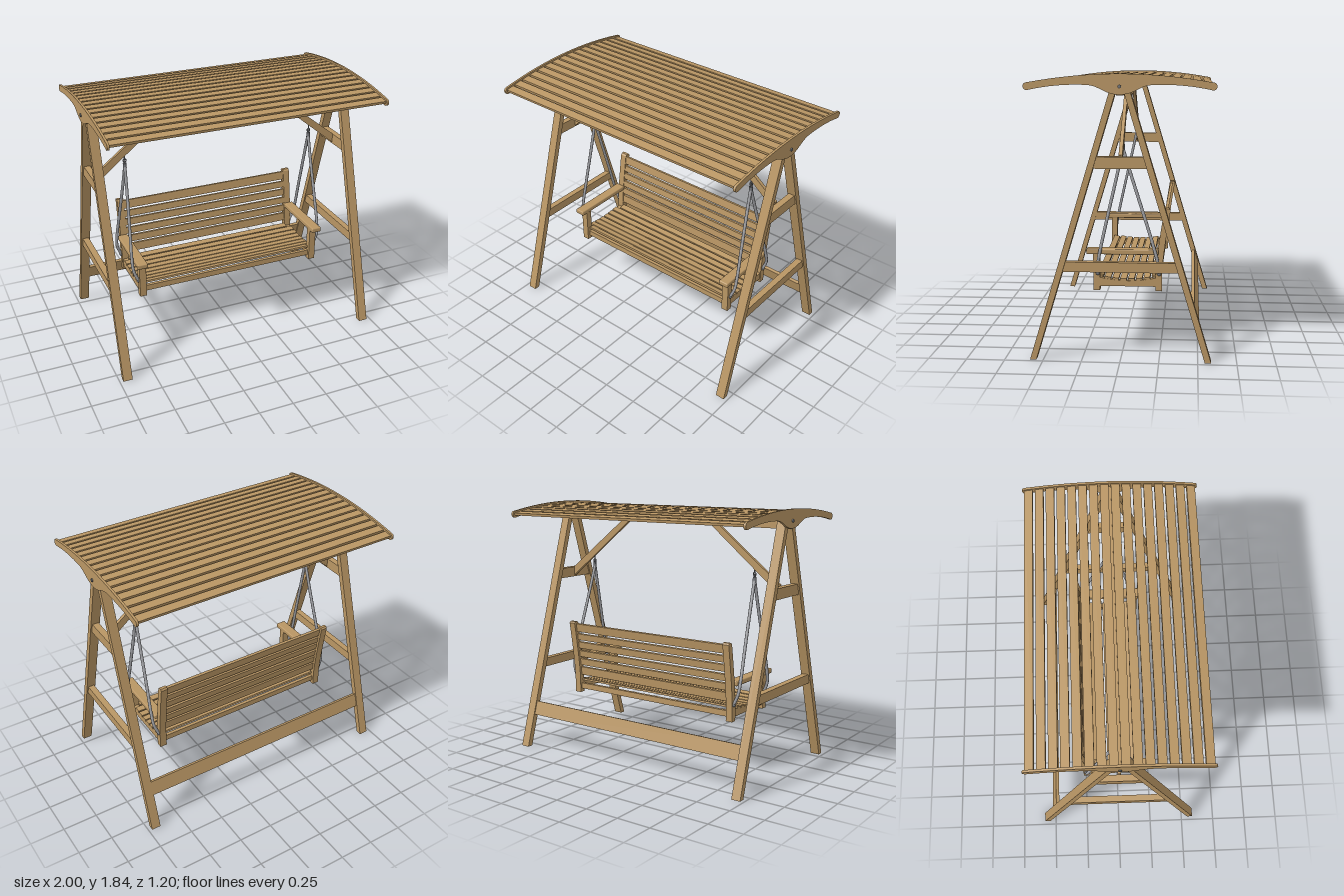
import * as THREE from 'three';
import { toCreasedNormals } from 'three/addons/utils/BufferGeometryUtils.js';
import { RoundedBoxGeometry } from 'three/addons/geometries/RoundedBoxGeometry.js';

export function createModel() {
  const root = new THREE.Group();
  root.name = 'gardenSwing';
  const material = (name, color) => Object.assign(new THREE.MeshStandardMaterial({ color }), { name });
  const wood = material('wood', 0xb99664);
  const rope = material('ropeGrey', 0xa0a1a5);
  const metal = material('metalGrey', 0x74767a);

  const add = (name, geometry, mat, x = 0, y = 0, z = 0, parent = root) => {
    const mesh = new THREE.Mesh(geometry, mat);
    mesh.name = name;
    mesh.position.set(x, y, z);
    parent.add(mesh);
    return mesh;
  };
  const box = (name, w, h, d, x, y, z, parent = root) =>
    add(name, new THREE.BoxGeometry(w, h, d), wood, x, y, z, parent);

  // Side profile drawn in (z, y), given a width along x and centred on x = 0
  const sidePrism = (shape, width) => {
    const g = new THREE.ExtrudeGeometry(shape, { depth: width, bevelEnabled: false, curveSegments: 16 });
    g.translate(0, 0, -width / 2).rotateY(-Math.PI / 2);
    return toCreasedNormals(g, 0.5);
  };
  const polygon = (pts) => new THREE.Shape(pts.map(([a, b]) => new THREE.Vector2(a, b)));

  const legZ = (y) => 0.566 - 0.301 * y;
  const legHalf = 0.0205;

  // Roof end panel with rounded tips and a dropped centre
  const rafterShape = new THREE.Shape();
  rafterShape.moveTo(-0.575, 1.739);
  rafterShape.quadraticCurveTo(-0.4, 1.778, -0.22, 1.772);
  rafterShape.bezierCurveTo(-0.12, 1.772, -0.1, 1.712, 0, 1.712);
  rafterShape.bezierCurveTo(0.1, 1.712, 0.12, 1.772, 0.22, 1.772);
  rafterShape.quadraticCurveTo(0.4, 1.778, 0.575, 1.739);
  rafterShape.bezierCurveTo(0.608, 1.739, 0.608, 1.787, 0.575, 1.787);
  rafterShape.quadraticCurveTo(0, 1.893, -0.575, 1.787);
  rafterShape.bezierCurveTo(-0.608, 1.787, -0.608, 1.739, -0.575, 1.739);

  // Backrest lean: centre of the rear post at height y
  const backZ = (y) => -0.237 - 0.056 * Math.pow(Math.max(0, (y - 0.52) / 0.43), 1.3);
  const postHeights = [0.4, 0.52, 0.6, 0.68, 0.76, 0.84, 0.9, 0.945];
  const rearPostShape = polygon([
    ...postHeights.map((y) => [backZ(y) - 0.021, y]),
    [backZ(0.955) - 0.01, 0.957], [backZ(0.955) + 0.012, 0.957],
    ...[...postHeights].reverse().map((y) => [backZ(y) + 0.021, y]),
  ]);

  // Seat dip
  const seatMid = -0.03;
  const seatY = (z) => 0.474 + 0.6 * (z - seatMid) ** 2;
  const railTop = Array.from({ length: 11 }, (_, i) => {
    const z = -0.22 + i * 0.038;
    return [z, seatY(z) - 0.008];
  });
  const seatRailShape = polygon([[-0.22, 0.428], [0.16, 0.428], ...railTop.reverse()]);

  for (const side of [-1, 1]) {
    const frame = new THREE.Group();
    frame.name = side > 0 ? 'leftFrame' : 'rightFrame';
    root.add(frame);

    // A-frame legs
    for (const s of [-1, 1]) {
      const top = 1.765;
      const pts = [
        [s * (legZ(0) - legHalf), 0], [s * (legZ(0) + legHalf), 0],
        [s * (legZ(top) + legHalf), top], [s * (legZ(top) - legHalf), top],
      ];
      add(s > 0 ? 'frontLeg' : 'backLeg', sidePrism(polygon(pts), 0.066), wood, side * 0.942, 0, 0, frame);
    }

    // Crossbars fitted between the legs
    for (const [name, y0, y1] of [['lowerCrossbar', 0.585, 0.65], ['upperCrossbar', 1.25, 1.325]]) {
      const a = legZ(y0) - legHalf + 0.002, b = legZ(y1) - legHalf + 0.002;
      add(name, sidePrism(polygon([[-a, y0], [a, y0], [b, y1], [-b, y1]]), 0.045), wood, side * 0.942, 0, 0, frame);
    }

    // Roof end panel and its bolt
    add('roofEndPanel', sidePrism(rafterShape, 0.016), wood, side * 0.984, 0, 0, frame);
    add('bolt', new THREE.CylinderGeometry(0.011, 0.011, 0.016, 16).rotateZ(Math.PI / 2), metal, side * 0.992, 1.762, 0, frame);

    // Diagonal brace under the beam
    const braceShape = polygon([[0.915, 1.262], [0.915, 1.331], [0.43, 1.71], [0.362, 1.71]].map(([x, y]) => [side * x, y]));
    const brace = new THREE.ExtrudeGeometry(braceShape, { depth: 0.024, bevelEnabled: false });
    add('diagonalBrace', brace, wood, 0, 0, -0.012, frame);

    // Hanging hardware: eye bolt, ring and clamp
    const hook = new THREE.Group();
    hook.name = 'hook';
    hook.position.x = side * 0.713;
    root.add(hook);
    add('eyeBolt', new THREE.CylinderGeometry(0.005, 0.005, 0.05, 10), metal, 0, 1.418, 0, hook);
    add('eyeRing', new THREE.TorusGeometry(0.011, 0.004, 8, 18), metal, 0, 1.389, 0, hook);
    add('link', new THREE.TorusGeometry(0.01, 0.004, 8, 18).rotateY(Math.PI / 2), metal, 0, 1.376, 0, hook);
    add('clamp', new THREE.CylinderGeometry(0.013, 0.013, 0.034, 14), metal, 0, 1.352, 0, hook);

    // Two ropes spreading to the front and rear posts
    for (const [name, endZ] of [['frontRope', 0.17], ['rearRope', -0.24]]) {
      const path = [
        [0.713, 1.345, 0.01], [0.72, 1.15, 0.265], [0.733, 0.87, 0.64],
        [0.741, 0.69, 0.87], [0.737, 0.6, 0.965], [0.705, 0.515, 1],
      ].map(([x, y, t]) => new THREE.Vector3(side * x, y, endZ * t));
      add(name, new THREE.TubeGeometry(new THREE.CatmullRomCurve3(path), 28, 0.011, 10), rope);
      add(name + 'Eye', new THREE.SphereGeometry(0.014, 12, 8), metal, side * 0.707, 0.518, endZ);
    }

    // Bench end: posts, rail and armrest
    const bench = new THREE.Group();
    bench.name = side > 0 ? 'leftBenchEnd' : 'rightBenchEnd';
    root.add(bench);
    box('frontPost', 0.05, 0.255, 0.045, side * 0.681, 0.5275, 0.178, bench);
    add('rearPost', sidePrism(rearPostShape, 0.05), wood, side * 0.681, 0, 0, bench);
    add('seatRail', sidePrism(seatRailShape, 0.036), wood, side * 0.681, 0, 0, bench);
    add('armrest', new RoundedBoxGeometry(0.074, 0.036, 0.48, 2, 0.008), wood, side * 0.69, 0.667, 0.005, bench);
  }

  // Top beam and tilted rear stretcher
  box('topBeam', 1.95, 0.092, 0.046, 0, 1.754, 0);
  const stretcher = box('rearStretcher', 1.82, 0.104, 0.024, 0, 0.285, -legZ(0.285));
  stretcher.rotation.x = Math.atan(0.301);

  // Curved roof of slats
  for (let i = 0; i < 16; i++) {
    const z = (i - 7.5) * 0.074;
    const slat = box('roofSlat', 1.952, 0.018, 0.058, 0, 1.818 - 0.16 * z * z, z);
    slat.rotation.x = Math.atan(0.32 * z);
  }

  // Backrest slats following the lean
  for (const [y, h] of [[0.91, 0.062], [0.838, 0.048], [0.773, 0.05], [0.705, 0.048], [0.64, 0.05], [0.568, 0.062]]) {
    const slat = box('backSlat', 1.32, h, 0.02, 0, y, backZ(y) + 0.006);
    slat.rotation.x = Math.atan((backZ(y + 0.02) - backZ(y - 0.02)) / 0.04);
  }

  // Seat slats along the dip, with front and rear rails below
  for (let i = 0; i < 8; i++) {
    const z = 0.157 - i * 0.0525;
    const outer = i === 0 || i === 7;
    const slat = box('seatSlat', outer ? 1.32 : 1.4, 0.014, 0.043, 0, seatY(z), z);
    slat.rotation.x = -Math.atan(1.2 * (z - seatMid));
  }
  box('frontSeatRail', 1.32, 0.042, 0.025, 0, 0.449, 0.168);
  box('rearSeatRail', 1.32, 0.042, 0.025, 0, 0.449, -0.23);

  return root;
}
